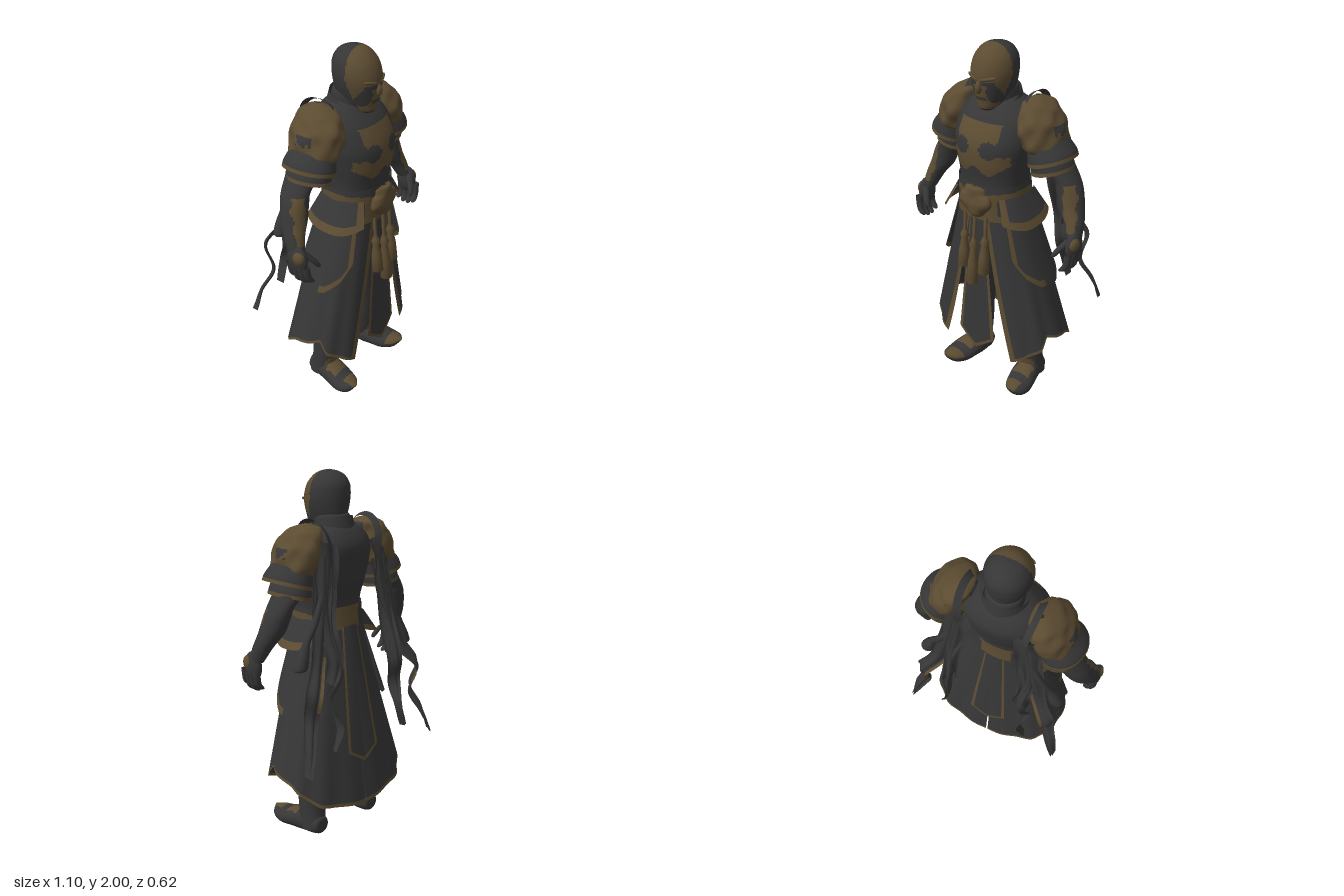
import * as THREE from 'three';
import { mergeVertices } from 'three/addons/utils/BufferGeometryUtils.js';

const dark = new THREE.MeshStandardMaterial({ color: 0x363636, side: THREE.DoubleSide });
dark.name = 'charcoal';
const gold = new THREE.MeshStandardMaterial({ color: 0x5b4b31, side: THREE.DoubleSide });
gold.name = 'bronze';

const { lerp } = THREE.MathUtils;
const never = () => false, always = () => true;
const spow = (a, e) => Math.sign(a) * Math.pow(Math.abs(a), e);
const lump = (p) => Math.sin(p.x * 46 + 1) * Math.sin(p.y * 41 + 2) * Math.sin(p.z * 38 + 1);

// Linear lookup in [[t, value], ...]
function ramp(keys, t) {
  for (let i = 1; i < keys.length; i++) {
    const [a, va] = keys[i - 1], [b, vb] = keys[i];
    if (t <= b) return lerp(va, vb, Math.max(0, (t - a) / (b - a)));
  }
  return keys[keys.length - 1][1];
}

// Grid surface from fn(u, v) -> Vector3; isGold(point, u, v) picks each cell's colour
function surface(name, fn, nu, nv, isGold = never) {
  const pos = [], cells = [[], []], w = nu + 1;
  for (let j = 0; j <= nv; j++)
    for (let i = 0; i <= nu; i++) pos.push(...fn(i / nu, j / nv).toArray());
  for (let j = 0; j < nv; j++)
    for (let i = 0; i < nu; i++) {
      const u = (i + 0.5) / nu, v = (j + 0.5) / nv, a = j * w + i;
      cells[isGold(fn(u, v), u, v) ? 1 : 0].push(a, a + 1, a + w + 1, a, a + w + 1, a + w);
    }
  let geo = new THREE.BufferGeometry();
  geo.setAttribute('position', new THREE.Float32BufferAttribute(pos, 3));
  geo.setIndex([...cells[0], ...cells[1]]);
  geo = mergeVertices(geo, 1e-5);
  geo.computeVertexNormals();
  geo.addGroup(0, cells[0].length, 0);
  geo.addGroup(cells[0].length, cells[1].length, 1);
  const mesh = new THREE.Mesh(geo, [dark, gold]);
  mesh.name = name;
  return mesh;
}

// Smooth body through oval sections [x, y, z, rx, rz]; along 'y' (rising) or 'z' (forward)
function loft(name, sections, isGold, { nu = 24, nv = 24, axis = 'y', bump = 0, e = 1, tilt = 0 } = {}) {
  const curve = (f) => new THREE.CatmullRomCurve3(sections.map(f), false, 'catmullrom', 0.5);
  const path = curve((s) => new THREE.Vector3(s[0], s[1], s[2]));
  const radii = curve((s) => new THREE.Vector3(s[3], s[4], 0));
  return surface(name, (u, v) => {
    const c = path.getPoint(v), r = radii.getPoint(v), t = (u % 1) * Math.PI * 2;
    const sx = spow(Math.sin(t), e), cz = spow(Math.cos(t), e);
    const p = axis === 'y' ? new THREE.Vector3(c.x + sx * r.x, c.y + tilt * sx * r.x, c.z + cz * r.y)
      : new THREE.Vector3(c.x - sx * r.x, Math.max(0, c.y + cz * r.y), c.z);
    if (bump) p.addScaledVector(p.clone().sub(c).normalize(), bump * lump(p));
    return p;
  }, nu, nv, isGold);
}

// Point on the flared robe at angle t from the front and height y
function robePoint(t, y, out = 0) {
  const k = (1.12 - y) / 0.8, front = 0.24 + 0.03 * k, back = -0.08 - 0.13 * k;
  const rx = 0.2 + (1.12 - y) * 0.28 + out, rz = (front - back) / 2 + out;
  return new THREE.Vector3(rx * spow(Math.sin(t), 0.8), y, (front + back) / 2 + rz * spow(Math.cos(t), 0.8));
}

// Twisting cloth strip along a path
function ribbon(name, pts, width, twist, isGold) {
  const c = new THREE.CatmullRomCurve3(pts.map((p) => new THREE.Vector3(...p)));
  return surface(name, (u, v) => {
    const a = twist * v + 0.3 * Math.sin(v * 14), w = (u - 0.5) * width * (1 - 0.55 * v * v);
    const p = c.getPoint(v);
    return new THREE.Vector3(p.x + Math.cos(a) * w, p.y + 0.3 * w, p.z + Math.sin(a) * w + 0.012 * Math.sin(u * 9));
  }, 8, 40, isGold);
}

// Pointed hanging panel with a bronze border
function panel(name, top, corner, tip, w0, w1, z0, z1) {
  return surface(name, (u, v) => {
    const s = u * 2 - 1;
    return new THREE.Vector3(s * lerp(w0, w1, v), lerp(top, lerp(tip, corner, Math.abs(s)), v), lerp(z0, z1, v) - Math.sign(z0) * 0.012 * s * s);
  }, 24, 40, (p, u, v) => Math.abs(u - 0.5) > 0.41 || v > 0.97);
}

// Cord, knot and fringe
function tassel(x, top, bottom, z) {
  const L = top - bottom;
  const prof = [[0, 0], [0.032, 0], [0.028, 0.3], [0.018, 0.5], [0.025, 0.56], [0.016, 0.63], [0.01, 0.68], [0.01, 1], [0, 1]];
  const m = new THREE.Mesh(new THREE.LatheGeometry(prof.map(([r, h]) => new THREE.Vector2(r, h * L)), 14), gold);
  m.position.set(x, bottom, z);
  m.rotation.x = -0.09;
  m.name = 'tassel';
  return m;
}

function ball(name, mat, x, y, z, rx, ry, rz) {
  const m = new THREE.Mesh(new THREE.SphereGeometry(1, 20, 14), mat);
  m.position.set(x, y, z);
  m.scale.set(rx, ry, rz);
  m.name = name;
  return m;
}

// Everything on the +x side
function buildSide() {
  const g = new THREE.Group();
  // Leg and curled boot
  g.add(loft('leg', [[.2, .04, -.01, .07, .07], [.19, .15, .01, .075, .075], [.18, .28, .02, .082, .082], [.17, .45, .03, .088, .09], [.13, .75, .05, .1, .1], [.1, 1.1, .07, .09, .1]],
    (p) => p.z > 0.045 && p.y > 0.09 && p.y < 0.18 - 12 * (p.x - 0.2) ** 2 && Math.abs(p.x - 0.2) < 0.055, { nu: 32, nv: 44 }));
  g.add(loft('boot', [[.195, .06, -.082, .005, .01], [.195, .06, -.07, .05, .05], [.2, .065, .02, .07, .07], [.215, .06, .1, .08, .062], [.23, .048, .17, .078, .05], [.24, .055, .23, .056, .036], [.245, .075, .268, .008, .006]],
    (p) => Math.abs(p.x - 0.215) < 0.055 && p.y > 0.06 && ((p.z > 0.06 && p.z < 0.14) || p.z > 0.19), { axis: 'z', nv: 40, nu: 36 }));
  // Half of the split robe
  const hem = [[0.4, 0.25], [0.8, 0.31], [1.1, 0.35], [1.3, 0.42], [1.9, 0.36], [2.5, 0.25], [3.14, 0.2]];
  g.add(surface('robe', (u, v) => {
    const t = lerp(lerp(0.18, 0.47, v), 3.138, u);
    return robePoint(t, lerp(1.14, ramp(hem, t), v), 0.005 * Math.sin(t * 13) * v);
  }, 60, 50, (p, u, v) => u < 0.035 || v > 0.98));
  // Shorter overlay flap
  const flapEnd = [[0.8, 0.9], [1.05, 0.8], [1.4, 0.73], [1.8, 0.71], [2.4, 0.8]];
  g.add(surface('sideFlap', (u, v) => {
    const t = lerp(0.8, 2.4, u);
    return robePoint(t, lerp(1.16, ramp(flapEnd, t), v), 0.008 + 0.022 * v);
  }, 40, 36, (p, u, v) => u < 0.08 || (v > 0.92 && u < 0.45)));
  // Flared hip plate
  g.add(surface('hipPlate', (u, v) => {
    const t = lerp(0.7, 2.1, u);
    return robePoint(t, 1.24 - v * (0.12 + 0.04 * Math.sin(u * Math.PI)), 0.03 + 0.045 * v);
  }, 30, 20, (p, u, v) => v > 0.74 || u < 0.12));
  // Arm, gauntlet and hand
  g.add(loft('arm', [[.5, 1.07, .075, .036, .045], [.475, 1.15, .045, .052, .056], [.44, 1.22, .02, .068, .068], [.415, 1.3, .005, .068, .075], [.395, 1.35, 0, .062, .078], [.34, 1.42, 0, .075, .085], [.29, 1.52, .01, .08, .08]],
    (p, u) => p.y > 1.11 && p.y < 1.34 && Math.abs((u - 0.02 - (p.y - 1.11) * 0.45 + 1.5) % 1 - 0.5) < 0.085 + 0.015 * Math.sin(p.y * 70), { nv: 48, nu: 44 }));
  g.add(ball('palm', dark, .51, 1.04, .09, .034, .08, .06));
  g.add(ball('handGuard', gold, .523, 1.06, .108, .026, .04, .036));
  for (let i = 0; i < 4; i++) {
    const z = 0.05 + i * 0.033, up = i === 0 || i === 3 ? 0.015 : 0;
    g.add(loft('finger', [[.475, .9 + up, z + .01, .004, .005], [.488, .91 + up, z + .008, .017, .017], [.51, .94 + up, z + .005, .019, .018], [.52, 1.02, z, .02, .019]], never, { nu: 10, nv: 10 }));
  }
  g.add(loft('thumb', [[.435, .985, .165, .004, .005], [.44, .995, .163, .014, .014], [.46, 1.03, .15, .018, .018], [.5, 1.085, .11, .022, .022]], never, { nu: 10, nv: 10 }));
  // Lumpy shoulder guard with a raised inner crest
  g.add(loft('shoulderGuard', [[.27, 1.48, .03, .07, .09], [.275, 1.515, .03, .102, .13], [.26, 1.6, .03, .112, .148], [.24, 1.67, .025, .098, .132], [.215, 1.725, .01, .066, .09], [.2, 1.75, 0, .004, .004]],
    (p) => p.x > 0.152 && !(p.z < 0.07 && p.z > -0.01 && p.x > 0.3 && p.y > 1.595 + 0.01 * Math.sin(p.z * 150) && p.y < 1.635), { nu: 60, nv: 46, bump: 0.012 }));
  g.add(surface('shoulderCrest', (u, v) => {
    const a = lerp(-0.25, Math.PI + 0.2, u), r = 1 + 0.14 * v;
    return new THREE.Vector3(0.15 + 0.035 * v + 0.02 * Math.sin(a), 1.63 + Math.sin(a) * 0.125 * r, -0.005 + Math.cos(a) * 0.115 * r);
  }, 30, 8));
  // Layered, slanted upper-arm plates with bronze rims
  const rim = (p, u, v) => v < 0.28;
  g.add(loft('upperArmPlate', [[.325, 1.445, .03, .118, .142], [.315, 1.48, .03, .112, .136], [.285, 1.54, .03, .09, .115]], rim, { nv: 18, nu: 36, tilt: 0.3 }));
  g.add(loft('lowerArmPlate', [[.32, 1.385, .02, .105, .122], [.312, 1.42, .02, .1, .118], [.29, 1.48, .03, .085, .11]], rim, { nv: 18, nu: 36, tilt: 0.25 }));
  // Trailing sashes
  g.add(ribbon('backSash', [[.18, 1.66, -.115], [.2, 1.45, -.13], [.23, 1.25, -.16], [.21, 1.08, -.21], [.24, .95, -.21]], 0.13, 0.9, never));
  g.add(ribbon('outerSash', [[.2, 1.6, -.115], [.25, 1.3, -.15], [.3, 1.06, -.18], [.38, .93, -.24], [.37, .78, -.2], [.42, .65, -.25], [.46, .52, -.28]], 0.095, 0.9, (p, u, v) => u < 0.15 && v > 0.3 && v < 0.6));
  g.add(ribbon('innerSash', [[.17, 1.55, -.12], [.2, 1.25, -.16], [.2, 1.0, -.24], [.24, .85, -.2], [.22, .72, -.26], [.26, .6, -.26]], 0.09, -1.6, never));
  g.add(loft('sashEnd', [[.385, 1.035, -.13, .004, .004], [.38, 1.045, -.13, .038, .034], [.365, 1.1, -.13, .034, .032], [.335, 1.18, -.13, .02, .02], [.29, 1.27, -.14, .02, .018], [.22, 1.42, -.13, .02, .015]], never, { nu: 14 }));
  return g;
}

export function createModel() {
  const model = new THREE.Group();
  model.name = 'armouredFigure';

  // Torso with breastplate inlay
  model.add(loft('torso', [[0, 1.06, .075, .19, .155], [0, 1.2, .09, .185, .15], [0, 1.32, .092, .19, .155], [0, 1.42, .085, .205, .178], [0, 1.52, .073, .222, .185], [0, 1.62, .045, .215, .165], [0, 1.69, .03, .165, .12], [0, 1.73, .03, .1, .08]],
    (p) => {
      const x = Math.abs(p.x);
      if (p.z < 0.08 || p.y > 1.62 || x > 0.18) return false;
      if (((x - 0.085) / 0.052) ** 2 + ((p.y - 1.495) / 0.045) ** 2 < 1) return false;
      if (((x - 0.155) / 0.04) ** 2 + ((p.y - 1.515) / 0.05) ** 2 < 1) return false;
      if (x > 0.13 && p.y > 1.5) return false;
      return p.y > 1.375 + 0.02 * Math.cos(x * 40) + Math.max(0, x - 0.15);
    }, { nu: 120, nv: 96, e: 0.9 }));

  // Belt, buckle and hanging tassels
  model.add(loft('belt', [[0, 1.1, .08, .21, .178], [0, 1.16, .085, .205, .172], [0, 1.23, .09, .2, .168], [0, 1.3, .092, .196, .163]],
    (p) => {
      const x = Math.abs(p.x);
      if (p.z < 0) return x < 0.09 && p.y > 1.18;
      return p.y < 1.135 || (p.y > 1.2 + x * 0.15 && p.y < 1.24 + x * 0.15) || (x < 0.13 && p.y < 1.25);
    }, { nu: 80, nv: 30, e: 0.9 }));
  model.add(loft('buckle', [[0, 1.11, .25, .01, .005], [0, 1.135, .25, .065, .03], [0, 1.19, .255, .1, .042], [0, 1.235, .255, .088, .036], [0, 1.25, .255, .068, .034], [0, 1.28, .25, .066, .028], [0, 1.288, .25, .005, .005]], always, { nu: 36, nv: 32, bump: 0.012 }));
  model.add(tassel(0, 1.12, 0.72, 0.293), tassel(0.07, 1.12, 0.8, 0.28), tassel(-0.07, 1.12, 0.8, 0.28));

  // Centre panels
  model.add(panel('frontPanel', 1.1, 0.36, 0.27, 0.05, 0.125, 0.25, 0.275));
  model.add(panel('backPanel', 1.2, 0.52, 0.45, 0.055, 0.11, -0.1, -0.215));

  // Neck and high collar
  model.add(loft('neck', [[0, 1.6, .04, .1, .1], [0, 1.76, .05, .095, .098], [0, 1.78, .06, .07, .08]], never));
  model.add(surface('collar', (u, v) => {
    const t = lerp(0.05, Math.PI * 2 - 0.05, u), back = 0.5 - 0.5 * Math.cos(t);
    const r = lerp(1.12, 0.9, v);
    return new THREE.Vector3(Math.sin(t) * 0.125 * r, lerp(1.6 + 0.06 * back, lerp(1.62, 1.775, Math.pow(back, 0.5)), v), 0.055 + Math.cos(t) * 0.125 * r);
  }, 48, 8));

  // Helmeted head with mask
  model.add(loft('head', [[0, 1.665, .14, .01, .01], [0, 1.68, .125, .05, .065], [0, 1.72, .102, .075, .098], [0, 1.77, .09, .096, .119], [0, 1.83, .088, .112, .128], [0, 1.88, .083, .115, .127], [0, 1.93, .075, .105, .115], [0, 1.97, .07, .078, .085], [0, 1.99, .07, .045, .05], [0, 2, .07, .001, .001]],
    (p) => {
      const x = Math.abs(p.x);
      if (p.z < 0.092 + Math.max(0, 1.86 - p.y) * 0.3 || p.y < 1.685) return false;
      if (((x - 0.062) / 0.026) ** 2 + ((p.y - 1.768) / 0.05) ** 2 < 1) return false;
      if (x > 0.018 && x < 0.075 && p.y > 1.81 && p.y < 1.83) return false;
      return !(x < 0.032 && p.y > 1.733 && p.y < 1.746);
    }, { nu: 90, nv: 84 }));
  model.add(ball('nose', gold, 0, 1.797, 0.212, 0.017, 0.032, 0.02));
  for (const s of [-1, 1]) {
    const brow = ball('brow', gold, s * 0.045, 1.842, 0.198, 0.045, 0.01, 0.013);
    brow.rotation.set(0, s * 0.35, s * 0.2);
    model.add(brow);
  }

  // Mirrored halves
  const left = buildSide();
  left.name = 'leftSide';
  const right = left.clone();
  right.name = 'rightSide';
  right.scale.x = -1;
  model.add(left, right);
  return model;
}
